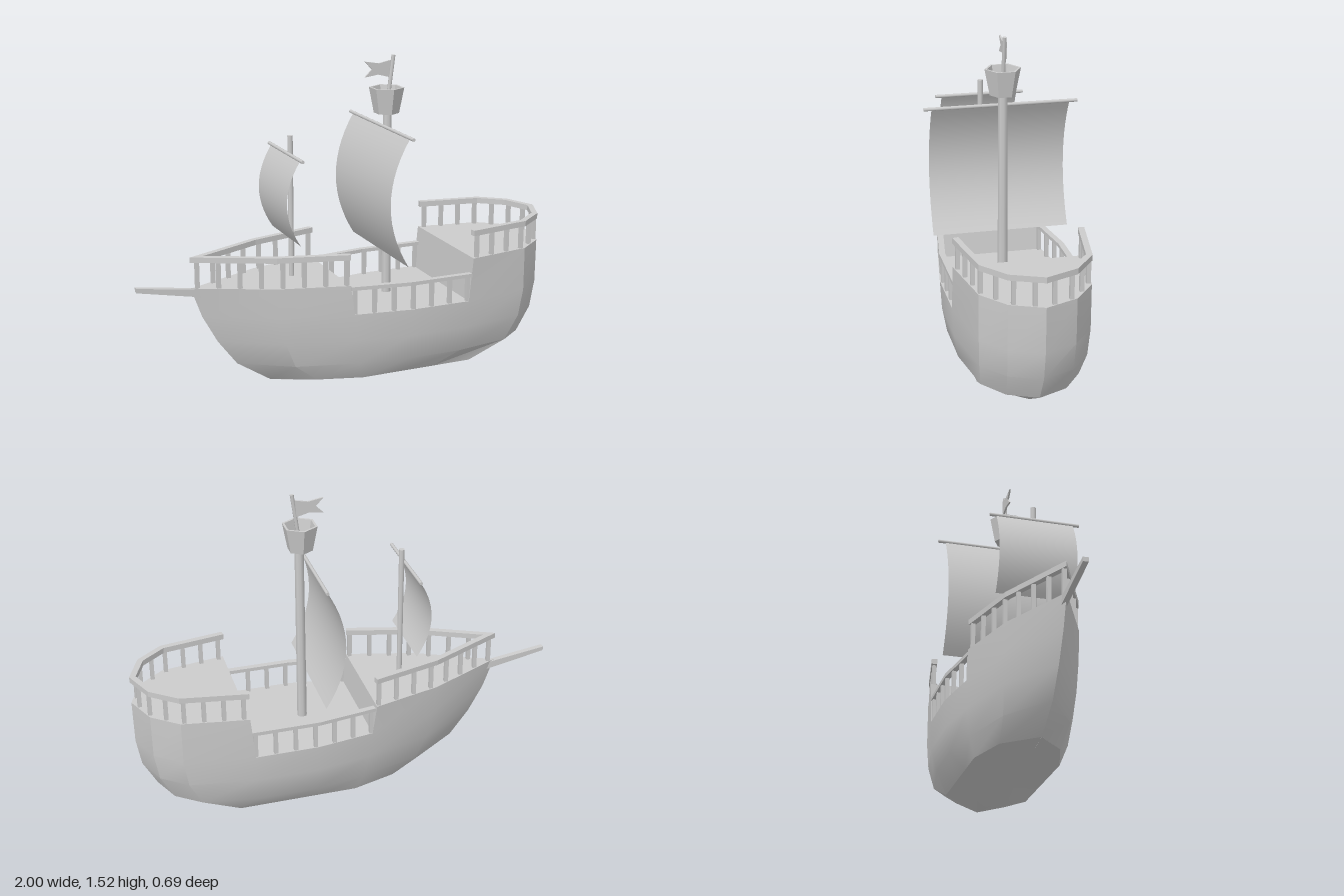
import * as THREE from 'three';
import { toCreasedNormals } from 'three/addons/utils/BufferGeometryUtils.js';

const mat = new THREE.MeshStandardMaterial({ color: 0xcccccc });
const thin = new THREE.MeshStandardMaterial({ color: 0xcccccc, side: THREE.DoubleSide });

// Deck plan from bow to stern: [x, half width]
const PLAN = [[-0.75, 0], [-0.4, 0.165], [-0.07, 0.25], [0.2, 0.29], [0.51, 0.29], [0.82, 0.24], [0.94, 0.145], [1, 0]];
const BREAKS = [-0.75, -0.4, 0.82, 1];
// Hull levels: height, x of the four plan breaks, width scale, width limit
const LEVELS = [
  { y: 0.065, xs: [-0.38, -0.2, 0.56, 0.73], s: 0.82, cap: 0.195 },
  { y: 0.15, xs: [-0.54, -0.31, 0.74, 0.91], s: 0.9, cap: 0.26 },
  { y: 0.27, xs: [-0.63, -0.36, 0.8, 0.975], s: 0.975, cap: 0.285 },
  { y: 0.4, xs: [-0.7, -0.385, 0.82, 0.997], s: 1, cap: 0.29 },
];
const FORE = { y: 0.54, xs: BREAKS, s: 1, cap: 0.29, slant: 0.01 };
const AFT = { y: 0.605, xs: BREAKS, s: 1, cap: 0.29, slant: 0.01 };
const KEEL = [[-0.38, 0.045], [0, 0.005], [0.42, 0], [0.73, 0.045]];

function interp(x, from, to) {
  let k = 0;
  while (k < from.length - 2 && x > from[k + 1]) k++;
  return to[k] + (to[k + 1] - to[k]) * (x - from[k]) / (from[k + 1] - from[k]);
}

// Hull point at a station of the plan on a level
function hullPoint(i, L) {
  let x = interp(PLAN[i][0], BREAKS, L.xs);
  if (L === LEVELS[3]) x = i === 2 ? -0.06 : i === 4 ? 0.5 : x;
  if (L.slant) x += i === 2 ? -L.slant : i === 4 ? L.slant : 0;
  const end = i === 0 || i === PLAN.length - 1;
  return [x, L.y === 0.065 && end ? 0.046 : L.y, Math.min(PLAN[i][1] * L.s, L.cap)];
}

function buildHull() {
  const pos = [];
  const quad = (a, b, c, d) => pos.push(...a, ...b, ...c, ...a, ...c, ...d);
  const flip = ([x, y, z]) => [x, y, -z];
  const side = (a, b, c, d) => {
    quad(a, b, c, d);
    quad(flip(d), flip(c), flip(b), flip(a));
  };
  const last = PLAN.length - 1;
  for (let i = 0; i < last; i++) {
    const at = (L) => [hullPoint(i, L), hullPoint(i + 1, L)];
    // keel strip
    const [p, q] = at(LEVELS[0]);
    const keel = ([x]) => [x, interp(x, KEEL.map((k) => k[0]), KEEL.map((k) => k[1])), 0];
    side(keel(p), keel(q), q, p);
    // planking, raised at bow and stern
    const rows = [...LEVELS];
    if (i < 2) rows.push(FORE);
    if (i >= 4) rows.push(AFT);
    for (let j = 0; j < rows.length - 1; j++) {
      const [a, b] = at(rows[j]), [d, c] = at(rows[j + 1]);
      side(a, b, c, d);
    }
    // deck
    const [a, b] = at(rows[rows.length - 1]);
    quad(a, b, flip(b), flip(a));
  }
  // bulkheads at both steps
  const f0 = hullPoint(2, LEVELS[3]), f1 = hullPoint(2, FORE);
  quad(f0, flip(f0), flip(f1), f1);
  const a0 = hullPoint(4, LEVELS[3]), a1 = hullPoint(4, AFT);
  quad(a1, flip(a1), flip(a0), a0);
  const g = new THREE.BufferGeometry();
  g.setAttribute('position', new THREE.Float32BufferAttribute(pos, 3));
  return toCreasedNormals(g, 0.5);
}

// Inward mitred offset of an open path in the deck plane
function inset(pts, d) {
  const normal = (a, b) => {
    const t = b.clone().sub(a).normalize();
    return new THREE.Vector2(-t.y, t.x);
  };
  return pts.map((p, i) => {
    const n0 = i > 0 ? normal(pts[i - 1], p) : normal(p, pts[1]);
    const n1 = i < pts.length - 1 ? normal(p, pts[i + 1]) : n0;
    const m = n0.clone().add(n1).normalize();
    return p.clone().addScaledVector(m, d / m.dot(n0));
  });
}

function mesh(parent, name, geometry, x = 0, y = 0, z = 0, material = mat) {
  const m = new THREE.Mesh(geometry, material);
  m.name = name;
  m.position.set(x, y, z);
  parent.add(m);
  return m;
}

// Handrail with posts along a path of [x, z] points
function railing(parent, name, path, deckY, y0, y1, intervals, margin) {
  const g = new THREE.Group();
  g.name = name;
  const pts = path.map(([x, z]) => new THREE.Vector2(x, z));
  const outline = [...pts, ...inset(pts, 0.027).reverse()].map((p) => new THREE.Vector2(p.x, -p.y));
  const rail = new THREE.ExtrudeGeometry(new THREE.Shape(outline), { depth: y1 - y0, bevelEnabled: false });
  mesh(g, 'handrail', rail.rotateX(-Math.PI / 2), 0, y0);
  const line = new THREE.Path(inset(pts, 0.0135));
  const post = new THREE.BoxGeometry(0.018, y0 - deckY + 0.01, 0.018);
  for (let k = 0; k <= intervals; k++) {
    const p = line.getPoint(margin + (1 - 2 * margin) * k / intervals);
    mesh(g, 'railPost', post, p.x, (y0 + deckY) / 2, p.y);
  }
  parent.add(g);
}

// Bellied sail hanging from a yard
function sail(parent, name, x, top, bottom, width, bulge, yardLength) {
  const g = new THREE.Group();
  g.name = name;
  const h = top - bottom;
  const cloth = new THREE.PlaneGeometry(width, h, 1, 14).rotateY(-Math.PI / 2);
  const p = cloth.attributes.position;
  for (let i = 0; i < p.count; i++) p.setX(i, -bulge * (1 - (2 * p.getY(i) / h) ** 2));
  cloth.computeVertexNormals();
  mesh(g, 'cloth', cloth, x, (top + bottom) / 2, 0, thin);
  mesh(g, 'yard', new THREE.CylinderGeometry(0.008, 0.008, yardLength, 8).rotateX(Math.PI / 2), x, top);
  parent.add(g);
}

export function createModel() {
  const ship = new THREE.Group();
  ship.name = 'sailingShip';
  mesh(ship, 'hull', buildHull());

  // railings
  const top = (i, L, s) => {
    const [x, , z] = hullPoint(i, L);
    return [x, z * s];
  };
  const fore = [top(2, FORE, 1), top(1, FORE, 1), top(0, FORE, 1), top(1, FORE, -1), top(2, FORE, -1)];
  railing(ship, 'foreRailing', fore, 0.54, 0.66, 0.685, 14, 0.012);
  const aft = [4, 5, 6, 7].map((i) => top(i, AFT, -1)).concat([6, 5, 4].map((i) => top(i, AFT, 1)));
  railing(ship, 'aftRailing', aft, 0.605, 0.712, 0.738, 13, 0.022);
  const waist = [[-0.075, 0.249], [0.2, 0.29], [0.515, 0.29]];
  railing(ship, 'waistRailingRight', waist.map(([x, z]) => [x, -z]), 0.4, 0.515, 0.532, 6, 0.03);
  railing(ship, 'waistRailingLeft', [...waist].reverse(), 0.4, 0.515, 0.532, 6, 0.03);

  // bowsprit, tapering and rising forward
  const spar = new THREE.BoxGeometry(0.29, 0.036, 0.025);
  const sp = spar.attributes.position;
  for (let i = 0; i < sp.count; i++) {
    if (sp.getX(i) < 0) sp.setY(i, sp.getY(i) * 0.55 + 0.05);
  }
  spar.computeVertexNormals();
  mesh(ship, 'bowsprit', spar, -0.855, 0.516);

  // masts
  mesh(ship, 'mainMast', new THREE.CylinderGeometry(0.021, 0.023, 0.88, 8), 0.21, 0.83);
  mesh(ship, 'foreMast', new THREE.CylinderGeometry(0.013, 0.013, 0.665, 8), -0.268, 0.8625);

  // sails
  sail(ship, 'mainSail', 0.177, 1.205, 0.612, 0.62, 0.092, 0.69);
  sail(ship, 'foreSail', -0.29, 1.12, 0.73, 0.36, 0.065, 0.42);

  // lookout basket: open six-sided tub
  const tub = [[0, 1.26], [0.058, 1.26], [0.081, 1.378], [0.07, 1.378], [0.052, 1.285], [0, 1.285]];
  const basket = new THREE.LatheGeometry(tub.map(([r, y]) => new THREE.Vector2(r, y)), 6);
  mesh(ship, 'lookoutBasket', toCreasedNormals(basket, 0.4), 0.205, 0, 0, thin);

  // flagpole and swallowtail flag
  const pole = mesh(ship, 'flagpole', new THREE.CylinderGeometry(0.009, 0.009, 0.25, 6), 0.222, 1.4);
  pole.rotation.z = -0.13;
  const flag = new THREE.Shape([
    [0.228, 1.5], [0.17, 1.488], [0.1, 1.5], [0.135, 1.463], [0.1, 1.428], [0.165, 1.437], [0.222, 1.422],
  ].map(([x, y]) => new THREE.Vector2(x, y)));
  mesh(ship, 'flag', new THREE.ExtrudeGeometry(flag, { depth: 0.008, bevelEnabled: false }), 0, 0, -0.014);

  return ship;
}
